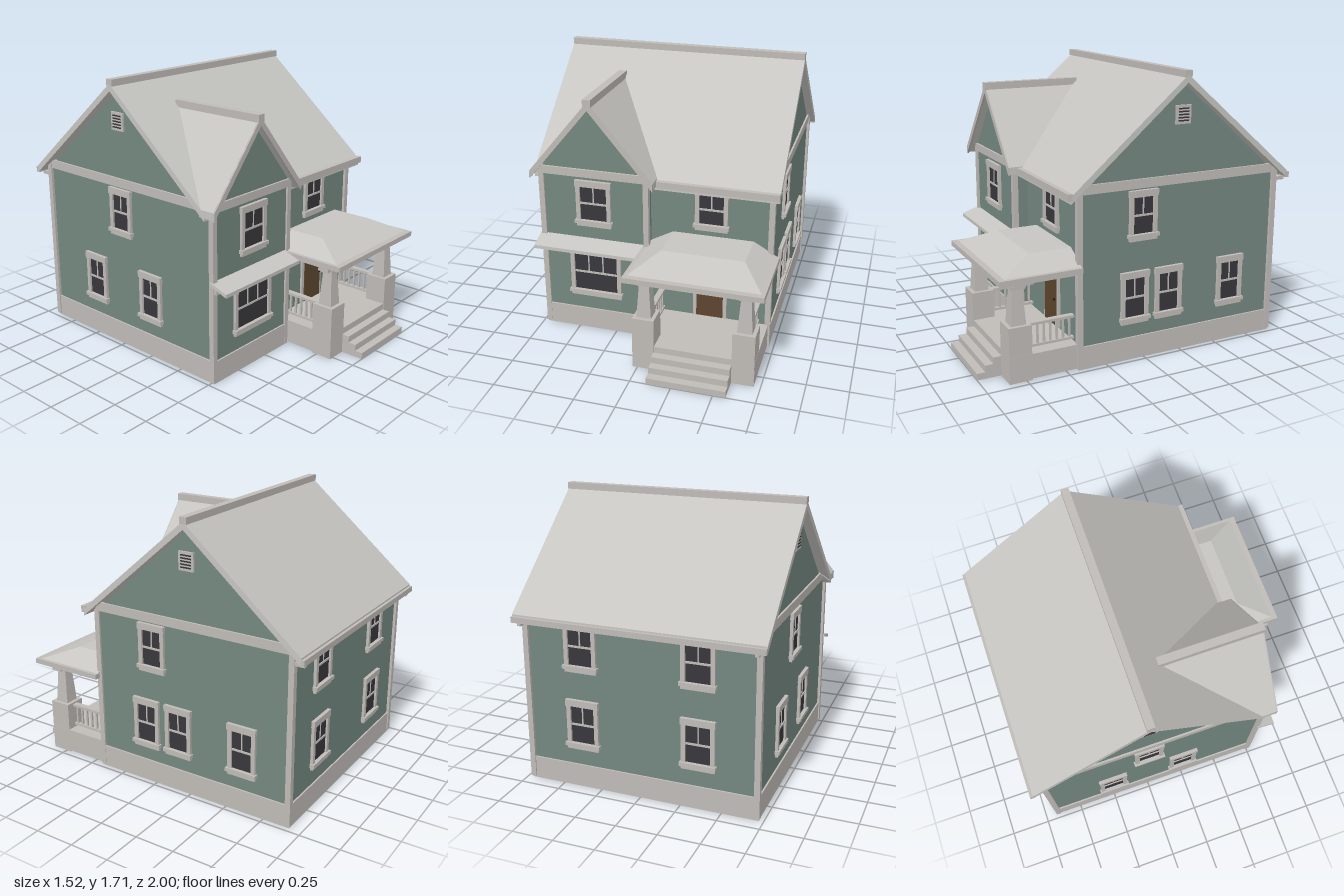
import * as THREE from 'three';
import { ConvexGeometry } from 'three/addons/geometries/ConvexGeometry.js';

const mat = (name, color) => Object.assign(new THREE.MeshStandardMaterial({ color }), { name });
const trim = mat('pale trim', 0xbfbbb7);
const roofing = mat('pale roofing', 0xc6c5c1);
const siding = mat('green siding', 0x748880);
const glass = mat('dark glass', 0x38373c);
const wood = mat('brown wood', 0x5c452e);
const iron = mat('black iron', 0x1c1c1e);

function add(parent, name, geometry, material) {
  const m = new THREE.Mesh(geometry, material);
  m.name = name;
  parent.add(m);
  return m;
}

// Box given by its lower and upper limits on each axis
function box(parent, name, material, x0, x1, y0, y1, z0, z1) {
  const m = add(parent, name, new THREE.BoxGeometry(x1 - x0, y1 - y0, z1 - z0), material);
  m.position.set((x0 + x1) / 2, (y0 + y1) / 2, (z0 + z1) / 2);
  return m;
}

// Convex slab: top corners extended straight down by t
function slab(parent, name, material, corners, t) {
  const pts = [];
  for (const [x, y, z] of corners) pts.push(new THREE.Vector3(x, y, z), new THREE.Vector3(x, y - t, z));
  return add(parent, name, new ConvexGeometry(pts), material);
}

// Tapered block between two level rectangles [x0, x1, z0, z1]
function frustum(parent, name, material, a, ya, b, yb) {
  const pts = [];
  for (const [r, y] of [[a, ya], [b, yb]])
    for (const x of [r[0], r[1]]) for (const z of [r[2], r[3]]) pts.push(new THREE.Vector3(x, y, z));
  return add(parent, name, new ConvexGeometry(pts), material);
}

const outline = (pts) => new THREE.Shape(pts.map(([x, y]) => new THREE.Vector2(x, y)));
const extrude = (shape, depth) => new THREE.ExtrudeGeometry(shape, { depth, bevelEnabled: false });

// Sash window facing +z, centred on its glass
function sashWindow(parent, x, y, z, turn, w, h, panes = 2) {
  const g = new THREE.Group();
  g.name = 'window';
  const a = w / 2, b = h / 2;
  box(g, 'glass', glass, -a, a, -b, b, 0, 0.006);
  for (const s of [-1, 1]) {
    const c = s * (a + 0.013);
    box(g, 'sideCasing', trim, c - 0.013, c + 0.013, -b, b, 0, 0.018);
  }
  box(g, 'headCasing', trim, -a - 0.03, a + 0.03, b, b + 0.04, 0, 0.022);
  box(g, 'sill', trim, -a - 0.035, a + 0.035, -b - 0.022, -b, 0, 0.03);
  box(g, 'apron', trim, -a - 0.026, a + 0.026, -b - 0.042, -b - 0.022, 0, 0.018);
  box(g, 'meetingRail', trim, -a, a, -0.006, 0.006, 0, 0.012);
  for (let i = 1; i < panes; i++) {
    const m = -a + (w * i) / panes;
    box(g, 'muntin', trim, m - 0.004, m + 0.004, 0, b, 0, 0.01);
  }
  g.position.set(x, y, z);
  g.rotation.y = turn;
  parent.add(g);
}

// Louvred attic vent facing +z
function atticVent(parent, x, turn) {
  const g = new THREE.Group();
  g.name = 'atticVent';
  box(g, 'ventFrame', trim, -0.05, 0.05, -0.055, 0.055, 0, 0.012);
  for (let i = 0; i < 5; i++) {
    const y = -0.035 + i * 0.0175;
    box(g, 'ventSlot', glass, -0.035, 0.035, y - 0.004, y + 0.004, 0.012, 0.015);
  }
  g.position.set(x, 1.45, -0.24);
  g.rotation.y = turn;
  parent.add(g);
}

function buildBody(house) {
  // Open foundation ring
  const ring = outline([[-0.72, -0.92], [0.72, -0.92], [0.72, 0.43], [-0.03, 0.43], [-0.03, 0.52], [-0.72, 0.52]]);
  ring.holes.push(outline([[-0.69, -0.89], [-0.69, 0.49], [-0.06, 0.49], [-0.06, 0.4], [0.69, 0.4], [0.69, -0.89]]));
  add(house, 'foundation', extrude(ring, 0.14).rotateX(Math.PI / 2).translate(0, 0.14, 0), trim);

  // Main walls with side gables, profile drawn as (-z, y)
  const side = outline([[-0.42, 0.14], [0.91, 0.14], [0.91, 1.05], [0.245, 1.63], [-0.42, 1.05]]);
  add(house, 'mainWalls', extrude(side, 1.42).rotateY(Math.PI / 2).translate(-0.71, 0, 0), siding);

  // Front bay with its own gable
  const bay = outline([[-0.71, 0.14], [-0.04, 0.14], [-0.04, 1.09], [-0.375, 1.5], [-0.71, 1.09]]);
  add(house, 'bayWalls', extrude(bay, 0.41).translate(0, 0, 0.1), siding);

  // Ground floor seen from underneath, with stairwell opening and stairs
  box(house, 'groundFloor', wood, -0.66, 0.69, 0.125, 0.135, -0.2, 0.4);
  box(house, 'groundFloor', wood, -0.66, -0.17, 0.125, 0.135, -0.86, -0.2);
  for (let i = 0; i < 10; i++) {
    const z = 0.18 - i * 0.057;
    box(house, 'stair', trim, 0.17, 0.3, 0.1 - i * 0.003, 0.125, z - 0.045, z);
  }

  // Corner boards
  const corners = [[-0.71, -0.91, 1.08], [0.71, -0.91, 1.08], [0.705, 0.42, 1.05], [-0.71, 0.505, 1.09], [-0.042, 0.505, 1.09]];
  for (const [x, z, top] of corners)
    box(house, 'cornerBoard', trim, x - 0.017, x + 0.017, 0.01, top, z - 0.017, z + 0.017);

  // Bands below the gables and eaves
  for (const s of [-1, 1]) {
    const x = s * 0.712;
    box(house, 'gableBand', trim, x - 0.01, x + 0.01, 1.045, 1.1, -0.915, 0.425);
  }
  box(house, 'bayBand', trim, -0.715, -0.035, 1.05, 1.1, 0.505, 0.523);
  box(house, 'bayBand', trim, -0.722, -0.7, 1.045, 1.1, 0.42, 0.52);
  box(house, 'eaveBand', trim, -0.03, 0.71, 1.01, 1.06, 0.415, 0.435);
  box(house, 'eaveBand', trim, -0.71, 0.71, 1.01, 1.06, -0.925, -0.905);
}

function buildRoofs(house) {
  // Main roof; each slope falls away from the ridge at z = -0.245
  const L = -0.765, R = 0.755;
  for (const z of [0.49, -0.98])
    slab(house, 'mainRoof', roofing, [[L, 1.68, -0.245], [R, 1.68, -0.245], [R, 1.055, z], [L, 1.055, z]], 0.045);
  box(house, 'mainRidgeCap', trim, L, R, 1.665, 1.705, -0.27, -0.222);

  // Eave gutters and spout elbows
  box(house, 'frontGutter', trim, 0.02, R, 1.03, 1.07, 0.48, 0.51);
  box(house, 'backGutter', trim, L, R, 1.01, 1.045, -0.998, -0.97);
  for (const x of [-0.71, 0.71]) box(house, 'spoutElbow', trim, x - 0.012, x + 0.012, 0.99, 1.012, -0.985, -0.915);

  // Bay gable roof, running back into the main slope
  for (const x of [-0.765, 0.015])
    slab(house, 'bayRoof', roofing, [[-0.375, 1.54, 0.56], [x, 1.075, 0.56], [x, 1.075, 0.455], [-0.375, 1.54, -0.085]], 0.045);
  // Rake boards on the bay gable
  for (const x of [-0.765, 0.015])
    slab(house, 'bayRake', trim, [[-0.375, 1.538, 0.555], [x, 1.073, 0.555], [x, 1.073, 0.567], [-0.375, 1.538, 0.567]], 0.05);
  box(house, 'bayRidgeCap', trim, -0.4, -0.35, 1.505, 1.555, -0.075, 0.57);

  // Small sloping roof above the lower bay window
  slab(house, 'pentRoof', roofing, [[-0.735, 0.645, 0.505], [-0.06, 0.645, 0.505], [-0.06, 0.605, 0.625], [-0.735, 0.605, 0.625]], 0.022);
  box(house, 'pentFascia', trim, -0.72, -0.03, 0.57, 0.605, 0.505, 0.54);
}

function buildPorch(house) {
  const porch = new THREE.Group();
  porch.name = 'porch';
  house.add(porch);

  box(porch, 'porchDeck', trim, -0.03, 0.71, 0.01, 0.16, 0.43, 0.85);
  for (let i = 0; i < 3; i++)
    box(porch, 'step', trim, 0.1, 0.575, 0, 0.12 - i * 0.04, 0.85, 0.9 + i * 0.05);

  for (const x of [0.037, 0.642]) {
    // Pedestal, tapered column and cap
    box(porch, 'pedestal', trim, x - 0.067, x + 0.067, 0, 0.335, 0.716, 0.854);
    frustum(porch, 'column', trim, [x - 0.045, x + 0.045, 0.74, 0.83], 0.335, [x - 0.03, x + 0.03, 0.755, 0.815], 0.55);
    box(porch, 'columnCap', trim, x - 0.042, x + 0.042, 0.545, 0.575, 0.743, 0.827);
    // Side railing
    box(porch, 'topRail', trim, x - 0.018, x + 0.018, 0.308, 0.324, 0.43, 0.72);
    box(porch, 'bottomRail', trim, x - 0.012, x + 0.012, 0.175, 0.19, 0.43, 0.72);
    for (let i = 0; i < 7; i++) {
      const z = 0.455 + i * 0.04;
      box(porch, 'baluster', trim, x - 0.006, x + 0.006, 0.19, 0.308, z - 0.006, z + 0.006);
    }
    box(porch, 'sideBeam', trim, x - 0.035, x + 0.035, 0.567, 0.605, 0.43, 0.82);
  }
  box(porch, 'frontBeam', trim, -0.04, 0.72, 0.567, 0.605, 0.75, 0.82);

  // Hipped porch roof
  box(porch, 'porchEave', trim, -0.065, 0.76, 0.605, 0.637, 0.42, 0.92);
  frustum(porch, 'porchRoof', roofing, [-0.045, 0.74, 0.42, 0.885], 0.636, [0.1, 0.6, 0.42, 0.68], 0.715);

  // Front door
  box(porch, 'doorFrame', trim, 0.232, 0.445, 0.16, 0.567, 0.42, 0.434);
  box(porch, 'door', wood, 0.255, 0.422, 0.165, 0.532, 0.43, 0.44);
  const knob = add(porch, 'doorKnob', new THREE.SphereGeometry(0.008, 10, 8), iron);
  knob.position.set(0.411, 0.335, 0.446);

  // Hanging lantern
  const lamp = add(porch, 'lantern', new THREE.CylinderGeometry(0.01, 0.018, 0.03, 10), iron);
  lamp.position.set(0.34, 0.553, 0.6);
  const rod = add(porch, 'lanternRod', new THREE.CylinderGeometry(0.004, 0.004, 0.045, 8), iron);
  rod.position.set(0.34, 0.585, 0.6);
}

export function createModel() {
  const house = new THREE.Group();
  house.name = 'house';
  buildBody(house);
  buildRoofs(house);
  buildPorch(house);

  // Front windows
  sashWindow(house, -0.375, 0.88, 0.51, 0, 0.17, 0.22);
  sashWindow(house, -0.375, 0.405, 0.51, 0, 0.28, 0.25, 3);
  sashWindow(house, 0.34, 0.89, 0.42, 0, 0.15, 0.19);

  // Side windows and vents
  const quarter = Math.PI / 2;
  for (const [z, y] of [[0.015, 0.885], [0.065, 0.39], [-0.165, 0.39], [-0.605, 0.39]])
    sashWindow(house, 0.71, y, z, quarter, 0.13, y > 0.5 ? 0.22 : 0.24);
  for (const [z, y] of [[-0.24, 0.885], [0, 0.39], [-0.49, 0.39]])
    sashWindow(house, -0.71, y, z, -quarter, 0.13, y > 0.5 ? 0.22 : 0.24);
  for (const s of [-1, 1]) atticVent(house, s * 0.71, s * quarter);

  // Back windows
  for (const x of [-0.36, 0.36])
    for (const y of [0.4, 0.885]) sashWindow(house, x, y, -0.91, Math.PI, 0.15, 0.23);
  return house;
}
